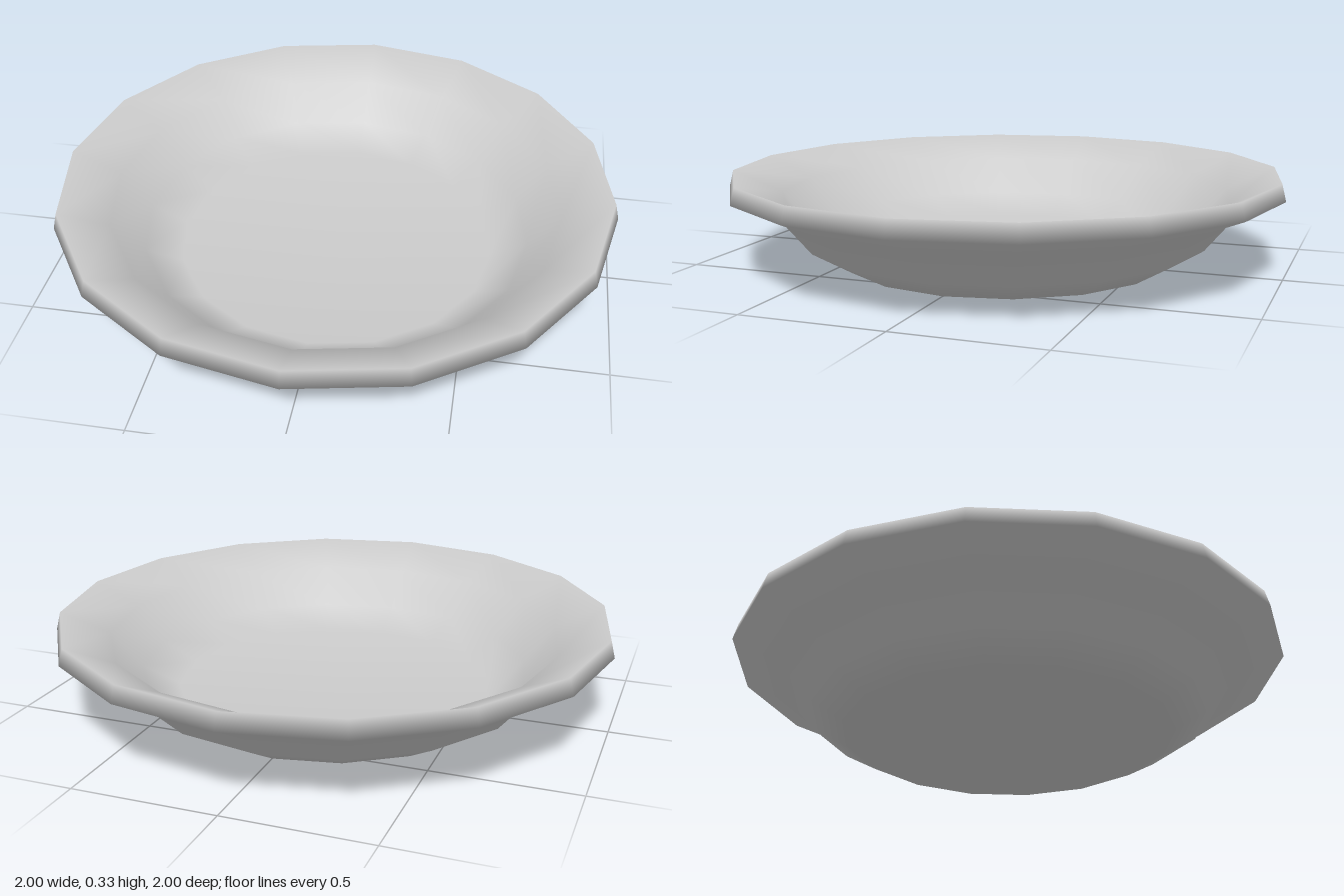
import * as THREE from 'three';

export function createModel() {
  const model = new THREE.Group();
  model.name = 'dish';

  const glaze = new THREE.MeshStandardMaterial({ color: 0xcccccc });
  glaze.name = 'pale grey glaze';

  // Closed profile: underside, outer wall, lip, then down the inside to the floor
  const profile = [
    [0, 0], [0.59, 0], [0.73, 0.08], [0.83, 0.2], [1, 0.27], // underside and outer wall
    [0.985, 0.33],                                           // lip
    [0.81, 0.25], [0.7, 0.12], [0.57, 0.05], [0, 0.05],      // inner wall and floor
  ].map(([r, y]) => new THREE.Vector2(r, y));

  // Sixteen-sided, smooth-shaded bowl
  const bowl = new THREE.Mesh(new THREE.LatheGeometry(profile, 16), glaze);
  bowl.name = 'bowl';
  model.add(bowl);

  return model;
}
